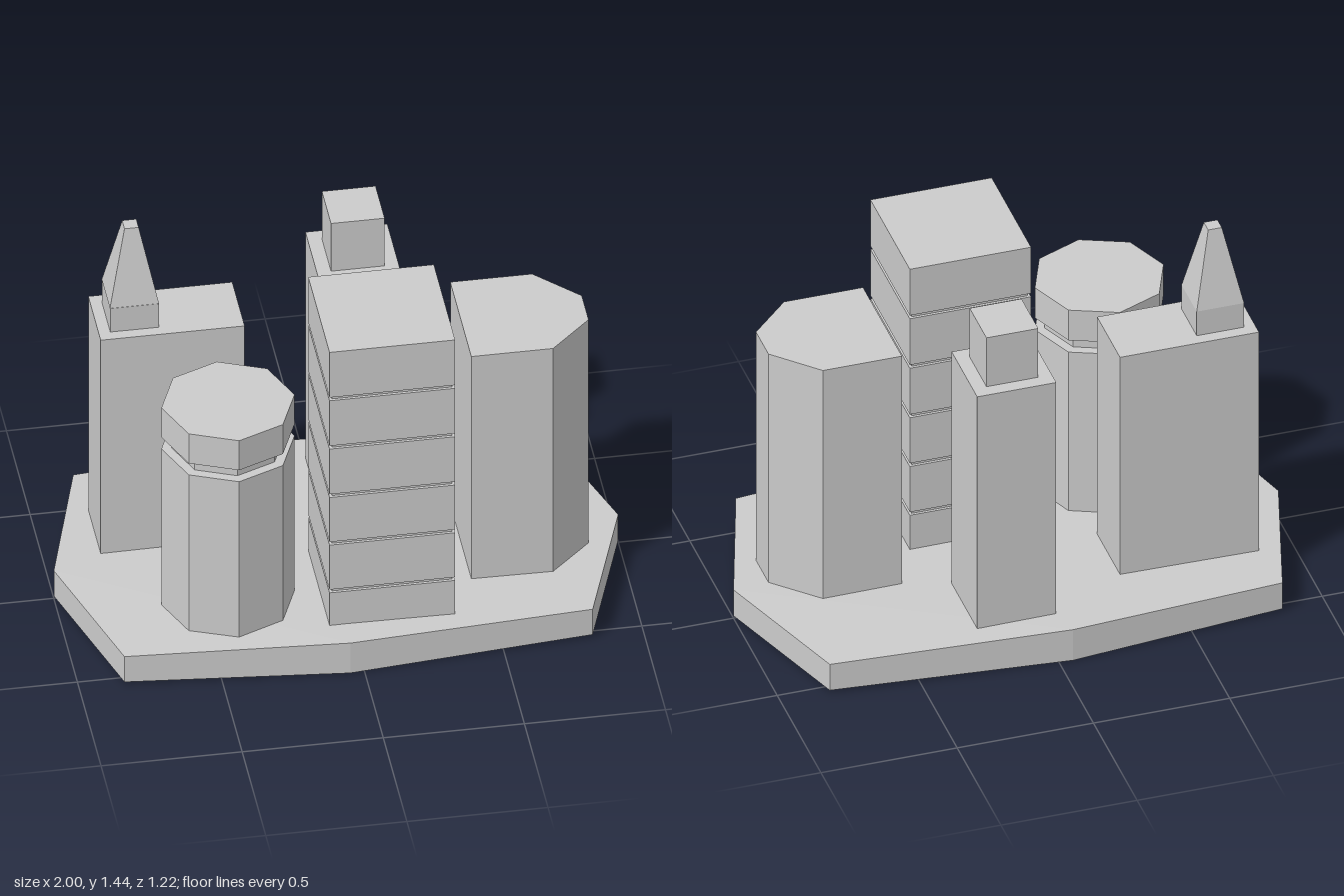
import * as THREE from 'three';

export function createModel() {
  const city = new THREE.Group();
  city.name = 'cityBlock';
  const stone = new THREE.MeshStandardMaterial({ color: 0xcccccc, flatShading: true });
  stone.name = 'paleGrey';
  const ground = 0.11;

  const add = (name, geometry, parent = city) => {
    const mesh = new THREE.Mesh(geometry, stone);
    mesh.name = name;
    parent.add(mesh);
    return mesh;
  };
  const tower = (name) => {
    const group = new THREE.Group();
    group.name = name;
    city.add(group);
    return group;
  };
  // box given by its limits
  const block = (name, parent, x0, x1, y0, y1, z0, z1) =>
    add(name, new THREE.BoxGeometry(x1 - x0, y1 - y0, z1 - z0), parent)
      .position.set((x0 + x1) / 2, (y0 + y1) / 2, (z0 + z1) / 2);
  // upright prism from a plan outline of [x, z] points
  const prism = (plan, y0, y1) => {
    const shape = new THREE.Shape(plan.map(([x, z]) => new THREE.Vector2(x, -z)));
    return new THREE.ExtrudeGeometry(shape, { depth: y1 - y0, bevelEnabled: false })
      .rotateX(-Math.PI / 2).translate(0, y0, 0);
  };

  // eight-sided ground slab, slightly thicker at the front and back points
  const slab = prism([[-1, 0], [-0.84, 0.54], [-0.05, 0.605], [0.82, 0.535],
    [1, 0], [0.82, -0.54], [-0.05, -0.61], [-0.84, -0.545]], 0.01, 0.12);
  const p = slab.attributes.position;
  for (let i = 0; i < p.count; i++) {
    if (Math.abs(p.getZ(i)) > 0.58) p.setY(i, p.getY(i) > 0.06 ? 0.13 : 0);
  }
  slab.computeVertexNormals();
  add('groundSlab', slab);

  // banded tower: six storeys with thin recessed joints
  const banded = tower('bandedTower');
  block('recessedCore', banded, -0.095, 0.33, ground, 1.3, 0.05, 0.48);
  const joints = [0.278, 0.485, 0.692, 0.902, 1.112];
  for (let i = 0; i <= joints.length; i++) {
    const low = i ? joints[i - 1] + 0.007 : ground;
    const high = i < joints.length ? joints[i] - 0.007 : 1.315;
    block('storey', banded, -0.105, 0.34, low, high, 0.04, 0.49);
  }

  // octagonal tower: shaft, neck and cap
  const octagonal = tower('octagonalTower');
  for (const [name, r, y0, y1] of [['shaft', 0.236, ground, 0.8],
    ['neck', 0.2, 0.8, 0.85], ['cap', 0.236, 0.85, 0.978]]) {
    add(name, new THREE.CylinderGeometry(r, r, y1 - y0, 8), octagonal)
      .position.set(-0.427, (y0 + y1) / 2, 0.264);
  }

  // tower with two chamfered corners
  add('chamferedTower', prism([[0.43, -0.15], [0.43, 0.295], [0.72, 0.295],
    [0.87, 0.148], [0.87, 0.005], [0.72, -0.15]], ground, 1.09));

  // stepped tower
  const stepped = tower('steppedTower');
  block('body', stepped, -0.025, 0.265, ground, 1.11, -0.497, -0.205);
  block('topBlock', stepped, 0.025, 0.215, 1.11, 1.317, -0.447, -0.255);

  // wide tower carrying a tapered spire
  const spired = tower('spireTower');
  block('body', spired, -0.822, -0.312, ground, 1.048, -0.332, -0.07);
  block('spireBase', spired, -0.781, -0.608, 1.048, 1.15, -0.287, -0.112);
  const spire = new THREE.CylinderGeometry(0.025 * Math.SQRT2, 0.087 * Math.SQRT2, 0.293, 4)
    .rotateY(Math.PI / 4);
  add('spire', spire, spired).position.set(-0.695, 1.2965, -0.2);

  return city;
}
